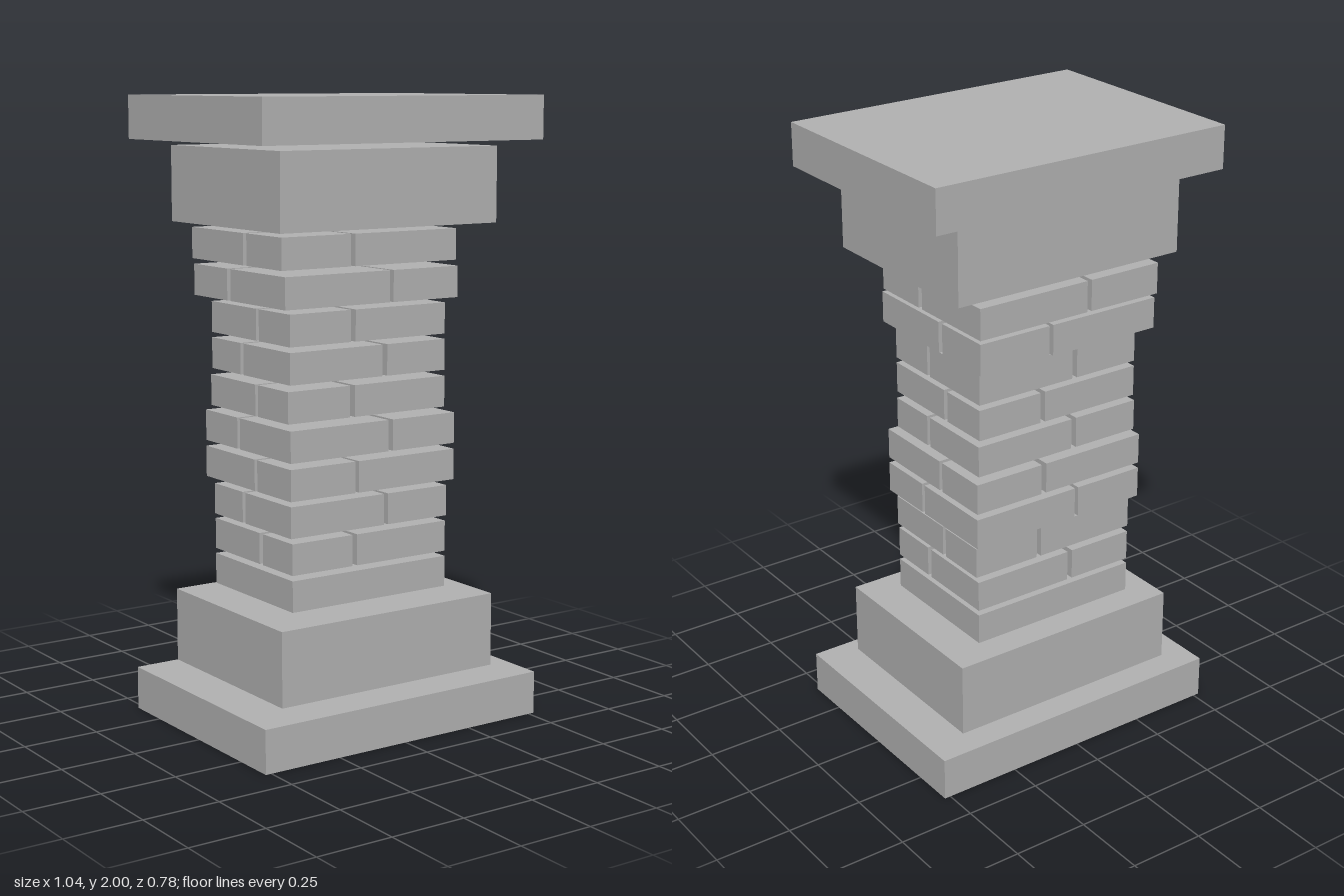
import * as THREE from 'three';

const stone = new THREE.MeshStandardMaterial({ color: 0xb2b2b2 });
stone.name = 'grey stone';

// Box given by its extents on each axis
function block(name, [x0, x1], [y0, y1], [z0, z1]) {
  const mesh = new THREE.Mesh(new THREE.BoxGeometry(x1 - x0, y1 - y0, z1 - z0), stone);
  mesh.position.set((x0 + x1) / 2, (y0 + y1) / 2, (z0 + z1) / 2);
  mesh.name = name;
  return mesh;
}

// Courses from the bottom up: bottom height, then spans of the bricks in x and in z
const courses = [
  [0.421, [[-0.296, 0.294]], [[-0.256, 0.199]]],
  [0.538, [[-0.296, -0.071], [-0.053, 0.294]], [[-0.256, 0.01], [0.029, 0.199]]],
  [0.655, [[-0.301, 0.05], [0.066, 0.298]], [[-0.251, -0.081], [-0.065, 0.199]]],
  [0.775, [[-0.312, -0.071], [-0.058, 0.315]], [[-0.283, 0.009], [0.024, 0.215]]],
  [0.894, [[-0.312, 0.055], [0.073, 0.315]], [[-0.283, -0.092], [-0.077, 0.215]]],
  [1.01, [[-0.301, -0.071], [-0.053, 0.298]], [[-0.267, -0.002], [0.013, 0.185]]],
  [1.13, [[-0.296, 0.05], [0.068, 0.294]], [[-0.267, -0.095], [-0.077, 0.189]]],
  [1.247, [[-0.296, -0.071], [-0.053, 0.294]], [[-0.267, -0.002], [0.013, 0.189]]],
  [1.365, [[-0.333, 0.055], [0.069, 0.32]], [[-0.312, -0.111], [-0.092, 0.22]]],
  [1.482, [[-0.333, -0.079], [-0.063, 0.328]], [[-0.323, -0.016], [0.003, 0.2]]],
];

export function createModel() {
  const model = new THREE.Group();
  model.name = 'brickPillar';

  // Stepped base and matching capital
  const slabX = [-0.52, 0.52], slabZ = [-0.39, 0.39];
  const stepX = [-0.405, 0.405], stepZ = [-0.325, 0.305];
  model.add(
    block('baseSlab', slabX, [0, 0.14], slabZ),
    block('baseStep', stepX, [0.162, 0.402], stepZ),
    block('capitalStep', stepX, [1.603, 1.843], stepZ),
    block('capitalSlab', slabX, [1.862, 2], slabZ),
  );

  // Shaft of loosely stacked bricks, with open joints
  const shaft = new THREE.Group();
  shaft.name = 'brickShaft';
  for (const [y, spansX, spansZ] of courses) {
    for (const sx of spansX) {
      for (const sz of spansZ) shaft.add(block('brick', sx, [y, y + 0.1], sz));
    }
  }
  model.add(shaft);
  return model;
}
